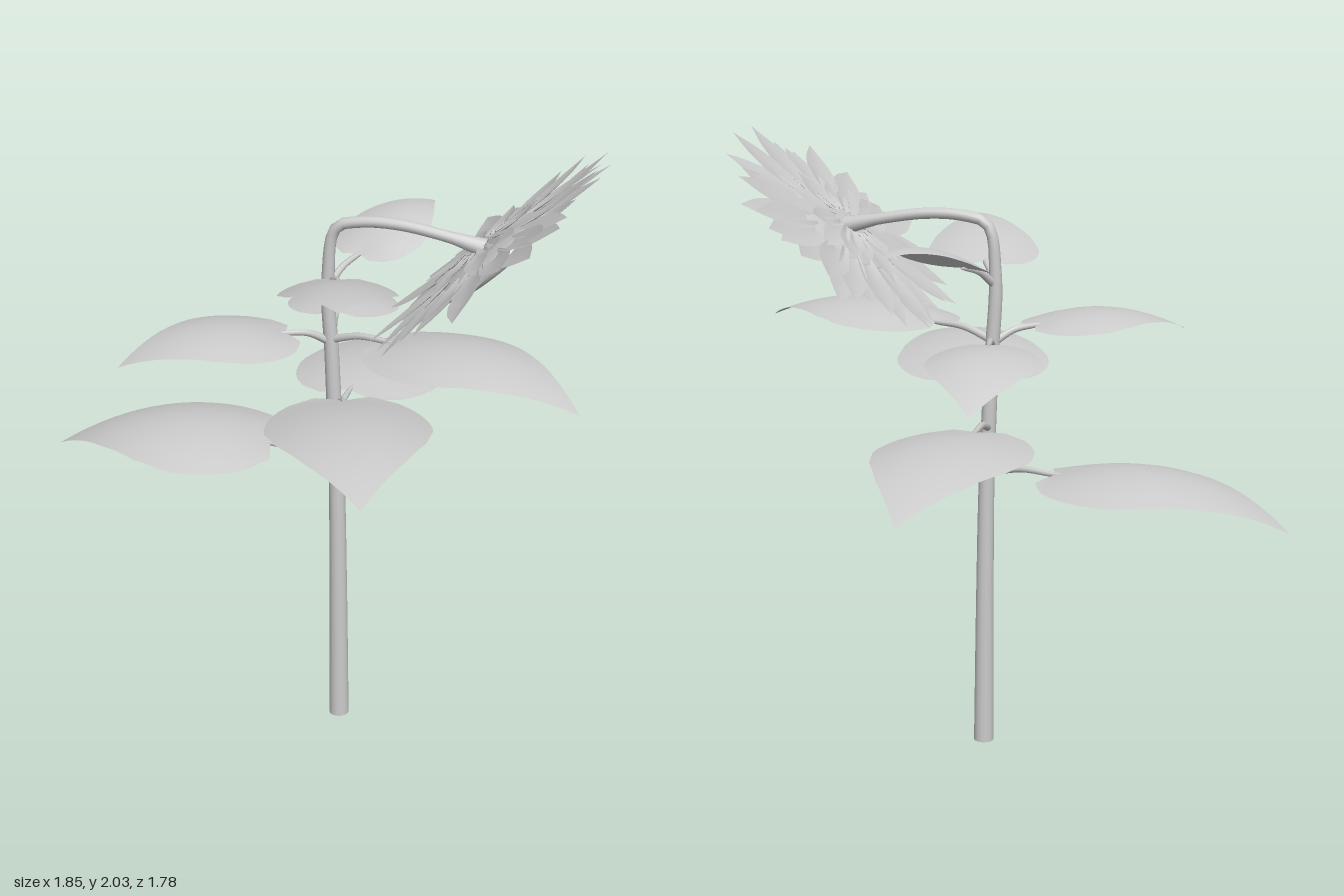
import * as THREE from 'three';

const material = new THREE.MeshStandardMaterial({ color: 0xcccccc, side: THREE.DoubleSide });
const V = (x, y, z) => new THREE.Vector3(x, y, z);

function addMesh(parent, name, geometry) {
  const mesh = new THREE.Mesh(geometry, material);
  mesh.name = name;
  parent.add(mesh);
  return mesh;
}

// Smooth piecewise interpolation through a row of [t, value] pairs
function ramp(pairs, t) {
  let i = 0;
  while (i < pairs.length - 2 && t > pairs[i + 1][0]) i++;
  const [t0, a] = pairs[i], [t1, b] = pairs[i + 1];
  return a + (b - a) * THREE.MathUtils.clamp((t - t0) / (t1 - t0), 0, 1);
}

// Tube whose radius changes along its path
function taperedTube(points, radii, segments, sides) {
  const curve = new THREE.CatmullRomCurve3(points);
  const geo = new THREE.TubeGeometry(curve, segments, 1, sides);
  const pos = geo.attributes.position;
  const p = V(0, 0, 0);
  for (let i = 0; i < pos.count; i++) {
    const t = Math.floor(i / (sides + 1)) / segments;
    const c = curve.getPointAt(t);
    p.fromBufferAttribute(pos, i).sub(c).multiplyScalar(ramp(radii, t)).add(c);
    pos.setXYZ(i, p.x, p.y, p.z);
  }
  geo.computeVertexNormals();
  // keep the seam smooth by restoring the radial normals
  const fresh = new THREE.TubeGeometry(curve, segments, 1, sides);
  geo.setAttribute('normal', fresh.attributes.normal);
  return geo;
}

// Grid surface: point(t, u) with t in 0..1 and u in -1..1
function sheet(nt, nu, point) {
  const pos = [], index = [];
  for (let i = 0; i <= nt; i++) {
    for (let j = 0; j <= nu; j++) pos.push(...point(i / nt, (j / nu) * 2 - 1).toArray());
  }
  for (let i = 0; i < nt; i++) {
    for (let j = 0; j < nu; j++) {
      const a = i * (nu + 1) + j, b = a + nu + 1;
      index.push(a, a + 1, b, a + 1, b + 1, b);
    }
  }
  const geo = new THREE.BufferGeometry();
  geo.setAttribute('position', new THREE.Float32BufferAttribute(pos, 3));
  geo.setIndex(index);
  geo.computeVertexNormals();
  return geo;
}

const LEAF_WIDTH = [[0, 0.35], [0.05, 0.66], [0.12, 0.85], [0.22, 0.96], [0.33, 1],
  [0.5, 0.86], [0.7, 0.56], [0.87, 0.24], [1, 0]];

// Heart-shaped blade that arches from base over midY to the tip, edges drooping
function leafBlade(base, midY, tip, width, droop) {
  const along = V(tip.x - base.x, 0, tip.z - base.z);
  const side = V(along.z, 0, -along.x).normalize();
  const tm = 0.4;
  // parabola through base, middle and tip heights
  const h = (t) => base.y * (t - tm) * (t - 1) / tm
    + midY * t * (t - 1) / (tm * (tm - 1))
    + tip.y * t * (t - tm) / (1 - tm);
  return sheet(20, 8, (t, u) => {
    const lobe = 0.05 * Math.abs(u) * (1 - t) ** 6;
    const w = ramp(LEAF_WIDTH, t);
    const p = base.clone().addScaledVector(along, t - lobe).addScaledVector(side, u * w * width / 2);
    p.y = h(t) - droop * (u * w) ** 2;
    return p;
  });
}

// Pointed petal lying along +x, from radius r0 to r1
function petal(r0, r1, halfWidth, lift, curl) {
  return sheet(8, 4, (t, u) => {
    const w = halfWidth * ramp([[0, 0.55], [0.3, 0.9], [0.5, 1], [0.7, 0.8], [1, 0]], t);
    return V(r0 + (r1 - r0) * t, lift + curl * t * t + 0.012 * u * u * (1 - t), u * w);
  });
}

export function createModel() {
  const model = new THREE.Group();
  model.name = 'sunflower';

  // Stem, bending over at the top
  const z0 = 0.035;
  const stem = [[0.095, 0], [0.09, 0.5], [0.083, 0.9], [0.066, 1.3], [0.052, 1.58],
    [0.078, 1.745], [0.16, 1.772], [0.28, 1.775], [0.42, 1.755], [0.55, 1.728]];
  addMesh(model, 'stem', taperedTube(stem.map(([x, y]) => V(x, y, z0)),
    [[0, 0.033], [0.4, 0.026], [0.68, 0.022], [0.76, 0.018], [0.95, 0.018], [1, 0.03]], 64, 14));
  const foot = addMesh(model, 'stemFoot', new THREE.CircleGeometry(0.033, 14));
  foot.rotation.x = Math.PI / 2;
  foot.position.set(0.095, 0.001, z0);

  // Leaves: height on the stem, base, mid height, tip, width, droop
  const leaves = [
    [0.93, [-0.16, 0.95, -0.02], 0.985, [-0.93, 0.82, -0.08], 0.56, 0.06],
    [1.36, [-0.06, 1.41, 0.12], 1.45, [-0.51, 1.36, 0.42], 0.41, 0.04],
    [1.08, [0.07, 1.11, -0.16], 1.125, [0.12, 0.99, -0.89], 0.51, 0.045],
    [1.35, [0.03, 1.39, -0.14], 1.385, [-0.03, 1.26, -0.61], 0.37, 0.035],
    [1.55, [0.12, 1.62, -0.08], 1.70, [0.28, 1.70, -0.42], 0.31, 0.035],
    [1.11, [0.14, 1.22, 0.16], 1.285, [0.40, 1.23, 0.89], 0.52, 0.05],
    [1.54, [0.11, 1.61, 0.13], 1.675, [0.25, 1.70, 0.60], 0.37, 0.045],
    [1.37, [0.27, 1.41, 0.10], 1.46, [0.92, 1.36, 0.36], 0.45, 0.05],
  ];
  leaves.forEach(([y, b, midY, tip, width, droop], i) => {
    const leaf = new THREE.Group();
    leaf.name = `leaf${i + 1}`;
    model.add(leaf);
    const base = V(...b);
    const start = V(ramp(stem.slice(0, 5).map(([x, h]) => [h, x]), y), y, z0);
    const middle = start.clone().lerp(base, 0.5);
    middle.y += 0.015;
    const end = base.clone().lerp(V(...tip), 0.06).setY(base.y + 0.003);
    addMesh(leaf, 'leafStalk', taperedTube([start, middle, base, end],
      [[0, 0.014], [0.8, 0.009], [1, 0.003]], 12, 8));
    addMesh(leaf, 'leafBlade', leafBlade(base, midY, V(...tip), width, droop));
  });

  // Flower head: local -y is the seed face, looking down and to the left side
  const head = new THREE.Group();
  head.name = 'flowerHead';
  head.position.set(0.565, 1.712, z0);
  head.rotation.z = 0.72;
  head.scale.set(0.93, 1, 1.04);
  model.add(head);

  const disc = [[0, -0.012], [0.06, -0.014], [0.11, -0.02], [0.145, -0.034], [0.18, -0.038],
    [0.21, -0.028], [0.225, -0.005], [0.2, 0.015], [0.1, 0.026], [0, 0.03]];
  addMesh(head, 'seedDisc', new THREE.LatheGeometry(disc.map(([r, y]) => new THREE.Vector2(r, y)), 36));

  // Rings of petals and the small green leaves behind them
  const rings = [
    { name: 'frontPetal', n: 19, r0: 0.17, r1: 0.46, w: 0.062, lift: -0.008, turn: 0 },
    { name: 'backPetal', n: 19, r0: 0.17, r1: 0.475, w: 0.062, lift: 0.01, turn: 0.5 },
    { name: 'sepal', n: 16, r0: 0.06, r1: 0.25, w: 0.05, lift: 0.032, turn: 0.25 },
  ];
  rings.forEach(({ name, n, r0, r1, w, lift, turn }, k) => {
    for (let i = 0; i < n; i++) {
      const wobble = Math.sin(i * 2.4 + k * 1.7);
      const mesh = addMesh(head, name, petal(r0, r1 + 0.025 * wobble, w, lift, 0.018 * Math.sin(i * 3.9 + k)));
      mesh.rotation.y = ((i + turn + 0.15 * wobble) / n) * Math.PI * 2;
    }
  });

  return model;
}
